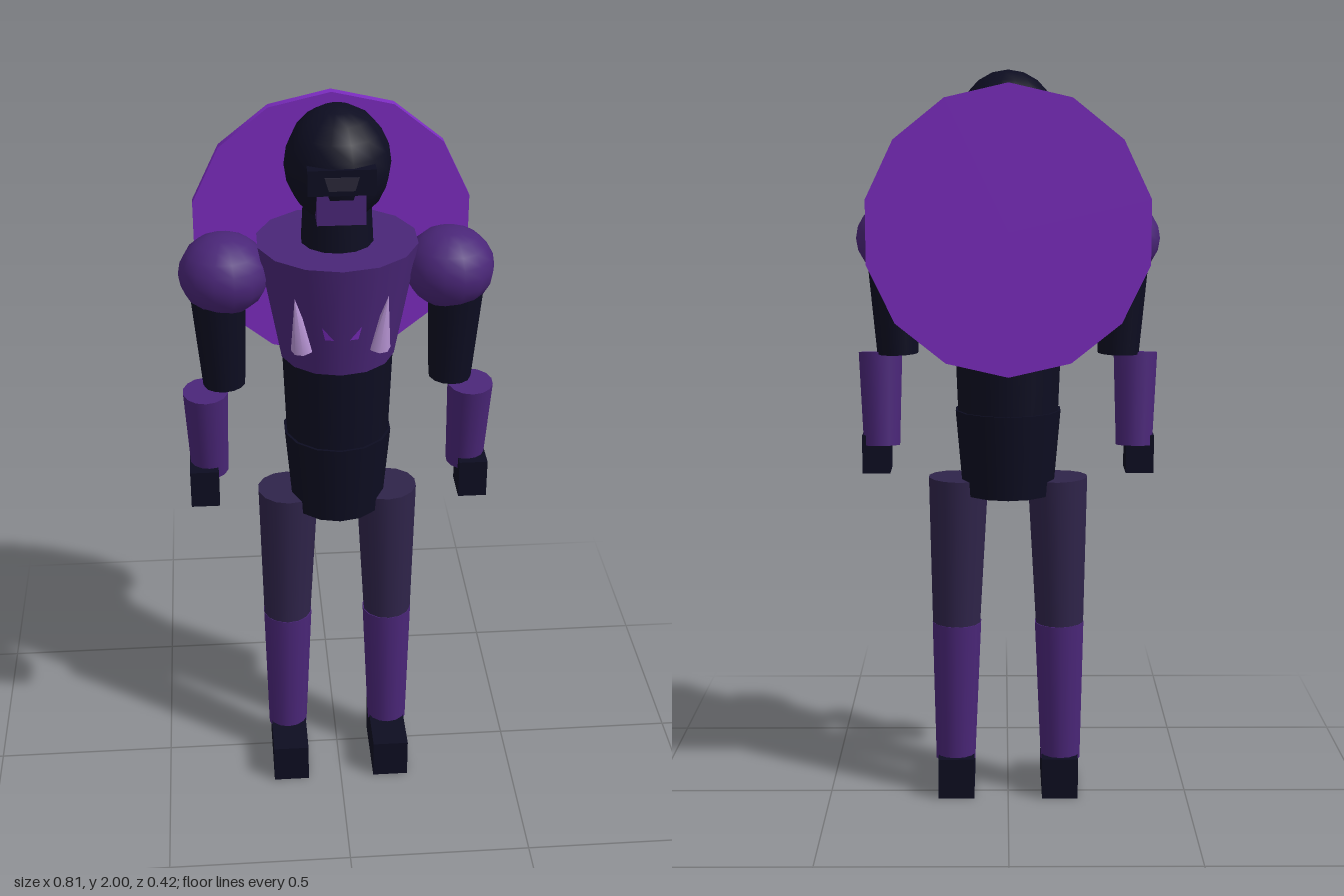
import * as THREE from 'three';

const SIDES = 14;

function mat(name, color) {
  const m = new THREE.MeshStandardMaterial({ color });
  m.name = name;
  return m;
}

export function createModel() {
  const black = mat('blackBlue', 0x0d0d21);
  const purple = mat('armourPurple', 0x4a2678);
  const slate = mat('slatePurple', 0x2f244a);
  const violet = mat('brightViolet', 0x7b2cbf);
  const lilac = mat('paleLilac', 0xb794d4);
  const lens = mat('lensGrey', 0x2a2838);

  const model = new THREE.Group();
  model.name = 'armouredFigure';

  function add(name, geometry, material, parent = model) {
    const mesh = new THREE.Mesh(geometry, material);
    mesh.name = name;
    parent.add(mesh);
    return mesh;
  }

  // Tapered round segment running from point a (radius ra) to point b (radius rb)
  function limb(name, a, b, ra, rb, material, parent, sides = SIDES) {
    const from = new THREE.Vector3(...a), to = new THREE.Vector3(...b);
    const axis = from.clone().sub(to);
    const mesh = add(name, new THREE.CylinderGeometry(ra, rb, axis.length(), sides), material, parent);
    mesh.position.copy(from).add(to).multiplyScalar(0.5);
    mesh.quaternion.setFromUnitVectors(new THREE.Vector3(0, 1, 0), axis.normalize());
    return mesh;
  }

  // Box given by its minimum and maximum corners
  function box(name, lo, hi, material, parent) {
    const mesh = add(name, new THREE.BoxGeometry(hi[0] - lo[0], hi[1] - lo[1], hi[2] - lo[2]), material, parent);
    mesh.position.set((lo[0] + hi[0]) / 2, (lo[1] + hi[1]) / 2, (lo[2] + hi[2]) / 2);
    return mesh;
  }

  // Trunk
  limb('chest', [0, 1.645, 0], [0, 1.33, 0], 0.208, 0.15, purple);
  limb('abdomen', [0, 1.33, 0], [0, 1.07, 0], 0.147, 0.137, black);
  limb('pelvis', [0, 1.1, 0], [0, 0.87, 0], 0.145, 0.125, black);
  limb('neck', [0, 1.78, 0.005], [0, 1.64, 0.005], 0.085, 0.093, black);

  // Head with visor and mouth guard
  const head = new THREE.Group();
  head.name = 'head';
  model.add(head);
  const skull = add('skull', new THREE.SphereGeometry(1, SIDES, 10), black, head);
  skull.scale.set(0.133, 0.145, 0.146);
  skull.position.set(0, 1.855, 0.02);
  box('visor', [-0.083, 1.825, 0.08], [0.083, 1.89, 0.165], black, head);
  box('mouthGuard', [-0.06, 1.745, 0.06], [0.06, 1.83, 0.155], purple, head);
  const glass = new THREE.Shape([
    new THREE.Vector2(-0.042, 1.872), new THREE.Vector2(-0.032, 1.838),
    new THREE.Vector2(0.032, 1.838), new THREE.Vector2(0.042, 1.872),
  ]);
  add('visorLens', new THREE.ExtrudeGeometry(glass, { depth: 0.004, bevelEnabled: false }), lens, head)
    .position.z = 0.164;

  // Back disc
  limb('backDisc', [0, 1.59, -0.187], [0, 1.59, -0.213], 0.373, 0.373, violet);

  // Front of the chest: point on the facet beside the centre line
  const onChest = (x, y) =>
    [x, y, 0.15 + 0.058 * (y - 1.33) / 0.315 - 0.228 * Math.abs(x) + 0.004];

  for (const s of [1, -1]) {
    const side = s > 0 ? 'left' : 'right';
    const part = (name) => {
      const g = new THREE.Group();
      g.name = side + name;
      model.add(g);
      return g;
    };

    // Chest ornaments: a fang and a small triangular mark
    limb('chestFang', [s * 0.117, 1.555, 0.16], [s * 0.097, 1.4, 0.128], 0, 0.03, lilac, part('Fang'), 8);
    const tri = [[0.05, 1.477], [0.02, 1.44], [0.042, 1.44]].flatMap(([x, y]) => onChest(s * x, y));
    const markGeo = new THREE.BufferGeometry();
    markGeo.setAttribute('position', new THREE.Float32BufferAttribute(tri, 3));
    markGeo.setIndex(s > 0 ? [0, 1, 2] : [0, 2, 1]);
    markGeo.computeVertexNormals();
    const markMat = violet;
    markMat.side = THREE.DoubleSide;
    add(side + 'ChestMark', markGeo, markMat);

    // Arm
    const arm = part('Arm');
    const shoulder = add('shoulder', new THREE.SphereGeometry(0.12, SIDES, 10), purple, arm);
    shoulder.scale.set(0.97, 0.87, 1);
    shoulder.position.set(s * 0.289, 1.56, 0.003);
    limb('upperArm', [s * 0.307, 1.55, 0.015], [s * 0.298, 1.25, 0.015], 0.075, 0.056, black, arm);
    limb('forearm', [s * 0.348, 1.248, 0.055], [s * 0.345, 0.995, 0.025], 0.06, 0.05, purple, arm);
    const x = s * 0.36;
    box('hand', [x - 0.038, 0.92, 0.0], [x + 0.038, 1.025, 0.1], black, arm);

    // Leg
    const leg = part('Leg');
    limb('thigh', [s * 0.135, 0.91, 0.005], [s * 0.143, 0.495, 0.005], 0.083, 0.067, slate, leg);
    limb('shin', [s * 0.142, 0.5, 0.005], [s * 0.147, 0.1, 0.008], 0.069, 0.056, purple, leg);
    const f = s * 0.145;
    box('foot', [f - 0.05, 0, -0.06], [f + 0.05, 0.115, 0.165], black, leg);
  }

  return model;
}
